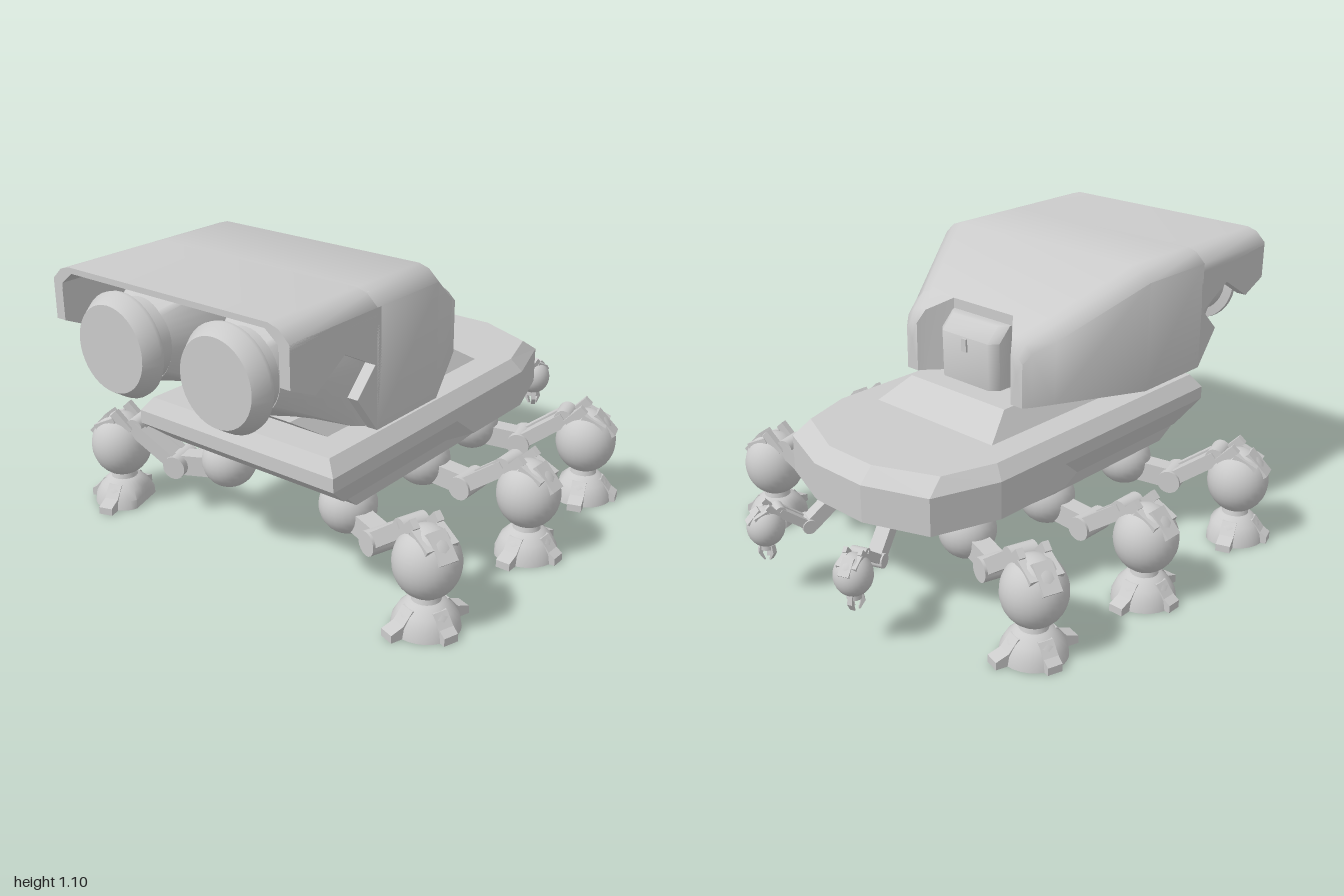
import * as THREE from 'three';
import { toCreasedNormals } from 'three/addons/utils/BufferGeometryUtils.js';

const material = new THREE.MeshStandardMaterial({ color: 0xcccccc, side: THREE.DoubleSide });

function add(parent, name, geometry, x = 0, y = 0, z = 0) {
  const mesh = new THREE.Mesh(geometry, material);
  mesh.name = name;
  mesh.position.set(x, y, z);
  parent.add(mesh);
  return mesh;
}

// Closed skin through equal-length rings of [x, y, z], capped at both ends
function loft(rings) {
  let tris = [];
  const n = rings[0].length;
  for (let r = 0; r < rings.length - 1; r++) {
    const a = rings[r], b = rings[r + 1];
    for (let i = 0; i < n; i++) {
      const j = (i + 1) % n;
      tris.push([a[i], a[j], b[j]], [a[i], b[j], b[i]]);
    }
  }
  const cap = (ring, flip) => {
    const c = [0, 1, 2].map(k => ring.reduce((s, p) => s + p[k], 0) / n);
    ring.forEach((p, i) => {
      const q = ring[(i + 1) % n];
      tris.push(flip ? [c, q, p] : [c, p, q]);
    });
  };
  cap(rings[0], true);
  cap(rings[rings.length - 1], false);
  // Turn the skin outwards when its signed volume is negative
  const v = p => new THREE.Vector3(...p);
  const volume = tris.reduce((s, t) => s + v(t[0]).dot(v(t[1]).cross(v(t[2]))), 0);
  if (volume < 0) tris = tris.map(t => [t[0], t[2], t[1]]);
  const geometry = new THREE.BufferGeometry();
  geometry.setAttribute('position', new THREE.Float32BufferAttribute(tris.flat(2), 3));
  geometry.computeVertexNormals();
  return geometry;
}

const mirrored = half => [...half, ...half.map(([x, y, z]) => [-x, y, z]).reverse()];
const level = (y, half) => mirrored(half.map(([x, z]) => [x, y, z]));
const smooth = geometry => toCreasedNormals(geometry, 0.85);
const lathe = (points, sides = 28) => new THREE.LatheGeometry(points.map(p => new THREE.Vector2(...p)), sides);
const extrude = (points, depth) => new THREE.ExtrudeGeometry(
  new THREE.Shape(points.map(p => new THREE.Vector2(...p))), { depth, bevelEnabled: false });

// Box running between two points of the xy plane
function bar(parent, name, [x1, y1], [x2, y2], thick, depth, z = 0) {
  const length = Math.hypot(x2 - x1, y2 - y1);
  const mesh = add(parent, name, new THREE.BoxGeometry(length, thick, depth), (x1 + x2) / 2, (y1 + y2) / 2, z);
  mesh.rotation.z = Math.atan2(y2 - y1, x2 - x1);
}

function pin(parent, name, x, y, radius, length) {
  add(parent, name, smooth(new THREE.CylinderGeometry(radius, radius, length, 18)), x, y).rotation.x = Math.PI / 2;
}

// Arm from the elbow (local -x) to the shin pod above the origin
function makeLimb(name) {
  const g = new THREE.Group();
  g.name = name;
  pin(g, 'elbowPin', -0.255, 0.198, 0.045, 0.13);
  for (const z of [-0.04, 0.04]) bar(g, 'armRail', [-0.27, 0.19], [-0.08, 0.33], 0.055, 0.03, z);
  bar(g, 'armCore', [-0.25, 0.205], [-0.1, 0.315], 0.04, 0.06);
  pin(g, 'kneePin', -0.085, 0.33, 0.036, 0.1);
  // Egg-shaped pod with horns and cover plates around its crown
  add(g, 'shinPod', new THREE.SphereGeometry(0.116, 28, 18), 0, 0.238).scale.y = 1.1;
  for (const z of [-0.048, 0.048]) {
    bar(g, 'podHorn', [-0.07, 0.315], [-0.005, 0.385], 0.035, 0.025, z);
    bar(g, 'podStrap', [-0.01, 0.352], [0.075, 0.312], 0.03, 0.03, z);
  }
  bar(g, 'podPlate', [0.035, 0.36], [0.11, 0.28], 0.02, 0.07);
  return g;
}

function addHip(g) {
  add(g, 'hipBall', new THREE.SphereGeometry(0.105, 24, 16), -0.46, 0.24);
  bar(g, 'hipStub', [-0.42, 0.21], [-0.26, 0.198], 0.08, 0.07);
}

function addFoot(g) {
  add(g, 'ankle', new THREE.CylinderGeometry(0.04, 0.055, 0.06, 20), 0, 0.115);
  // Dome cut flat on the side facing the body
  const dome = lathe([[0, 0], [0.118, 0], [0.112, 0.035], [0.092, 0.07], [0.06, 0.1], [0, 0.115]]);
  const p = dome.attributes.position;
  for (let i = 0; i < p.count; i++) p.setX(i, Math.max(p.getX(i), -0.088));
  add(g, 'footDome', smooth(dome));
  for (const [angle, reach] of [[0, 0.135], [Math.PI / 2, 0.158], [-Math.PI / 2, 0.158]]) {
    const profile = [[0.04, 0], [reach, 0], [reach, 0.028], [0.11, 0.045], [0.075, 0.088], [0.04, 0.09]];
    add(g, 'toe', extrude(profile, 0.055).translate(0, 0, -0.0275)).rotation.y = angle;
  }
}

function addClaw(g) {
  bar(g, 'shoulderBar', [-0.49, 0.385], [-0.27, 0.195], 0.09, 0.09);
  add(g, 'wrist', new THREE.CylinderGeometry(0.045, 0.045, 0.05, 16), 0, 0.115);
  for (let i = 0; i < 3; i++) {
    const profile = [[0.02, 0.13], [0.05, 0.12], [0.06, 0.07], [0.03, 0.02], [0.02, 0.02], [0.035, 0.07]];
    add(g, 'finger', extrude(profile, 0.03).translate(0, 0, -0.015)).rotation.y = i * Math.PI * 2 / 3;
  }
}

function addHull(body) {
  const rim = [[0.445, 0.71], [0.445, 0], [0.445, -0.12], [0.445, -0.45], [0.36, -0.7], [0.12, -0.79]];
  add(body, 'hull', loft([
    level(0.55, [[0.405, 0.68], [0.405, 0], [0.405, -0.12], [0.405, -0.43], [0.34, -0.63], [0.11, -0.73]]),
    level(0.5, rim),
    level(0.45, rim),
    level(0.36, [[0.4, 0.6], [0.4, 0], ...rim.slice(2)]),
    level(0.36, [[0.4, 0.58], [0.4, 0], [0.4, -0.12], [0.38, -0.42], [0.3, -0.6], [0.1, -0.66]]),
    level(0.31, [[0.39, 0.52], [0.39, 0], [0.39, -0.12], [0.37, -0.4], [0.27, -0.54], [0.1, -0.58]]),
    level(0.23, [[0.13, 0.4], [0.15, 0], [0.15, -0.12], [0.15, -0.4], [0.13, -0.48], [0.08, -0.5]]),
  ]));
  add(body, 'pedestal', loft([
    level(0.63, [[0.24, 0.68], [0.24, -0.22]]),
    level(0.545, [[0.3, 0.55], [0.3, -0.35]]),
  ]));
}

function addHead(body) {
  const head = new THREE.Group();
  head.name = 'head';
  body.add(head);
  const section = (z, w, top) => mirrored(
    [[w, 0.64, z], [w, top - 0.05, z], [w - 0.04, top - 0.012, z], [w - 0.08, top, z]]);
  add(head, 'headShell', smooth(loft([section(0.57, 0.512, 1.1), section(0.24, 0.512, 1.1), section(-0.08, 0.355, 0.924)])));
  // Rear horns beside the hatch recess, continuing the shell's chamfer
  for (const s of [-1, 1]) {
    const ring = (z, a, b, top, k) => [[a, 0.64], [b, 0.64], [b, top - 0.05 * k], [b - 0.04 * k, top - 0.012 * k], [b - 0.08 * k, top], [a, top]]
      .map(([x, y]) => [s * x, y, z]);
    add(head, 'rearHorn', smooth(loft([ring(-0.08, 0.15, 0.355, 0.924, 1), ring(-0.16, 0.22, 0.315, 0.88, 0.8), ring(-0.188, 0.24, 0.295, 0.83, 0.5)])));
  }
  // Hatch with rounded corners, a sloped top and a raised latch
  const hatch = (y, back) => level(y, [[0.145, -0.07], [0.145, back + 0.03], [0.115, back]]);
  add(head, 'hatch', smooth(loft([hatch(0.65, -0.17), hatch(0.83, -0.175), hatch(0.885, -0.12)])));
  add(head, 'hatchLatch', new THREE.BoxGeometry(0.025, 0.05, 0.02), 0, 0.8, -0.172);
  // Hood roof with chamfered corners
  const roof = [[0.512, 1.05], [0.472, 1.088], [0.432, 1.1]];
  const inner = [[0.42, 1.08], [0.47, 1.04], [0.47, 1.02]];
  const flip = list => list.map(([x, y]) => [-x, y]).reverse();
  add(head, 'hoodRoof', smooth(extrude([[0.512, 1.02], ...roof, ...flip(roof), [-0.512, 1.02], ...flip(inner), ...inner], 0.41)), 0, 0, 0.57);
  // Notched cheeks, and eyes whose sockets blend from round to square
  const cheek = [[0.55, 0.64], [0.57, 0.64], [0.67, 0.775], [0.58, 0.865], [0.73, 0.945], [0.87, 0.86], [0.98, 0.91], [0.98, 1.05], [0.55, 1.05]];
  const lens = [[0, 0.85], [0.142, 0.85], [0.142, 0.93], [0.178, 0.935], [0.18, 0.95], [0.148, 1], [0, 1]];
  for (const s of [-1, 1]) {
    const wall = extrude(cheek.map(([z, y]) => [-z, y]), 0.04).rotateY(Math.PI / 2);
    add(head, 'cheek', wall, s * 0.492 - 0.02);
    add(head, 'eye', smooth(lathe(lens, 40).rotateX(Math.PI / 2)), s * 0.232, 0.868);
    const socket = (z, size, square) => Array.from({ length: 40 }, (_, i) => {
      const c = Math.cos(i * Math.PI / 20), d = Math.sin(i * Math.PI / 20);
      const r = square ? size / Math.max(Math.abs(c), Math.abs(d)) : size;
      return [s * 0.233 + r * c * (square ? 1.05 : 1), 0.865 + r * d, z];
    });
    add(head, 'eyeSocket', smooth(loft([socket(0.56, 0.225, true), socket(0.62, 0.21, true), socket(0.87, 0.142, false)])));
  }
}

export function createModel() {
  const model = new THREE.Group();
  model.name = 'sixLeggedRover';
  const body = new THREE.Group();
  body.name = 'body';
  body.position.x = 0.006;
  model.add(body);
  addHull(body);
  addHead(body);

  for (const s of [1, -1]) {
    const side = s > 0 ? 'left' : 'right';
    const place = (limb, x, y, z, yaw) => {
      limb.position.set(s * x, y, z);
      limb.rotation.y = s > 0 ? yaw : Math.PI - yaw;
      model.add(limb);
    };
    for (const [name, x, z, yaw] of [['FrontLeg', 0.722, 0.57, -0.32], ['MiddleLeg', 0.74, -0.035, 0], ['RearLeg', 0.688, -0.56, 0.3]]) {
      const leg = makeLimb(side + name);
      addHip(leg);
      addFoot(leg);
      place(leg, x, 0, z, yaw);
    }
    // Small rear manipulators
    const arm = makeLimb(side + 'RearArm');
    addClaw(arm);
    arm.scale.setScalar(0.58);
    place(arm, 0.235, 0.135, -0.935, 1.2);
  }
  return model;
}
